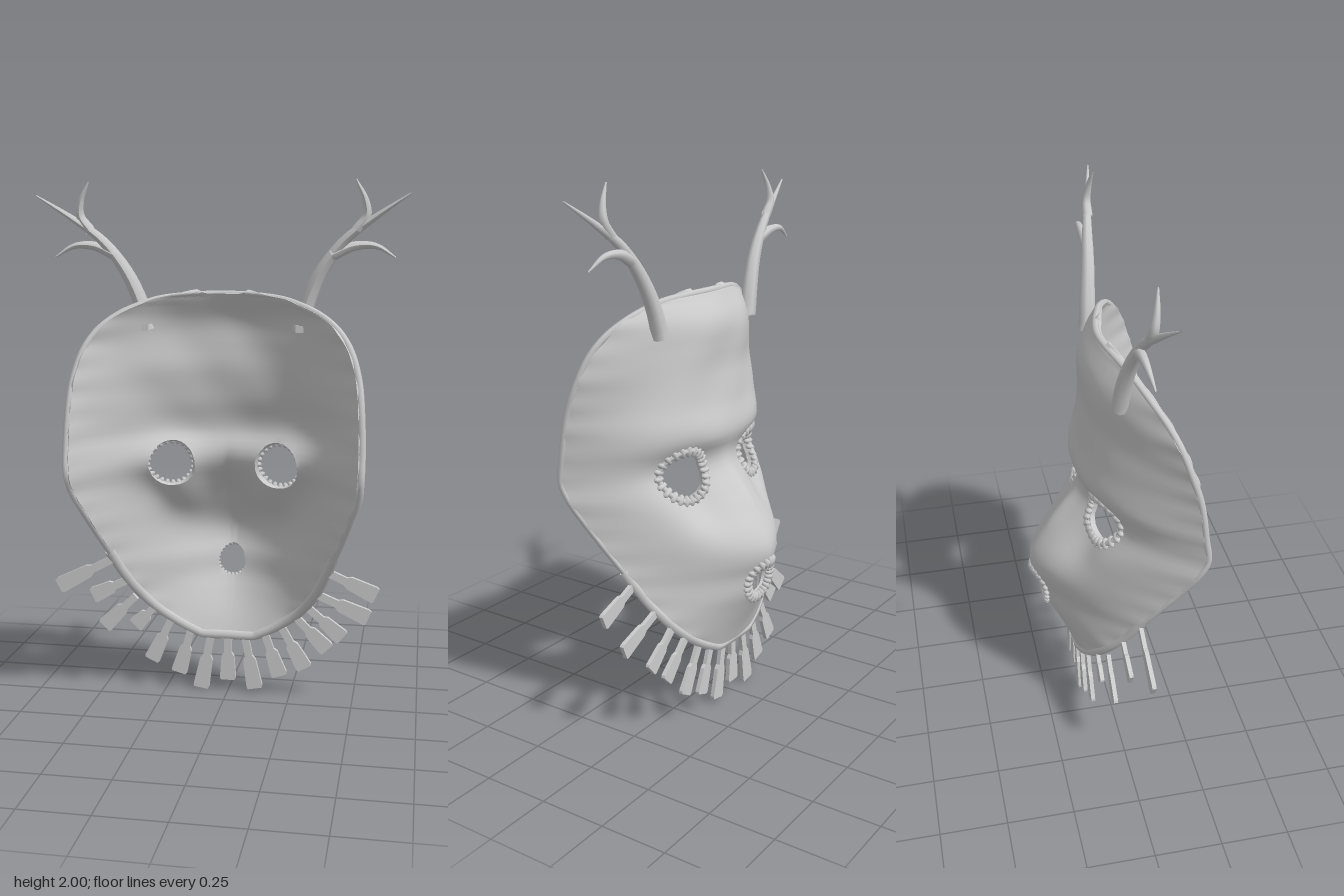
import * as THREE from 'three';
import { toCreasedNormals } from 'three/addons/utils/BufferGeometryUtils.js';

const grey = new THREE.MeshStandardMaterial({ color: 0xcccccc, side: THREE.DoubleSide });

// smooth function through [y, value] pairs
function profile(pairs) {
  const f = new THREE.CubicInterpolant(pairs.map(p => p[0]), pairs.map(p => p[1]), 1);
  return y => f.evaluate(y)[0];
}
const halfWidth = profile([[.22, .03], [.23, .085], [.26, .16], [.3, .228], [.36, .3], [.45, .367], [.55, .415], [.62, .443], [.7, .475],
  [.8, .51], [.87, .535], [.95, .545], [1.2, .54], [1.3, .528], [1.4, .497], [1.47, .45], [1.53, .38], [1.565, .3], [1.59, .2], [1.6, .1]]);
const edgeZ = profile([[.22, -.12], [.3, -.1], [.4, -.05], [.5, .015], [.6, .07], [.7, .135], [.8, .2], [.9, .255],
  [.95, .275], [1, .27], [1.1, .255], [1.2, .24], [1.3, .21], [1.4, .175], [1.5, .12], [1.55, .08], [1.59, .03], [1.6, .005]]);
const middleZ = profile([[.22, -.12], [.3, -.15], [.4, -.2], [.47, -.235], [.55, -.255], [.6, -.275], [.65, -.275], [.7, -.255], [.8, -.19],
  [.87, -.135], [.95, -.085], [1, -.08], [1.06, -.1], [1.1, -.1], [1.2, -.08], [1.3, -.065], [1.4, -.07], [1.5, -.06], [1.6, -.01]]);

const holes = [
  { name: 'leftEyeRim', x: .21, y: .945, r: .083 },
  { name: 'rightEyeRim', x: -.21, y: .945, r: .083 },
  { name: 'mouthRim', x: 0, y: .515, r: .064 },
];

// soft bump of height 1 at (x, y), mirrored in x
const bump = (x, y, cx, cy, rx, ry) => Math.exp(-(((Math.abs(x) - cx) / rx) ** 2) - ((y - cy) / ry) ** 2);

// height of the outer face: domed brow, full cheeks, pointed muzzle, slim nose, sunken eyes
function faceZ(x, y) {
  const t = Math.min(1, Math.abs(x) / halfWidth(y));
  const muzzle = Math.exp(-(((y - .6) / .22) ** 2));
  const cheek = Math.exp(-(((y - 1) / .3) ** 2));
  let z = THREE.MathUtils.lerp(middleZ(y), edgeZ(y), t ** (2 + .7 * cheek - .6 * muzzle));
  z -= .015 * bump(x, y, 0, .86, .04, .1);
  z += .045 * bump(x, y, .21, .95, .12, .09);
  z += .045 * bump(x, y, .18, .82, .09, .09);
  z += .004 * Math.sin(9 * x + 24 * y) * Math.sin(13 * x - 8 * y) * (y > 1.05 ? 1 : .4);
  return z + .004 * Math.sin(y * 70) * t ** 8;
}

function maskGeometry() {
  const rows = 90, cols = 72, P = [], inside = [], tris = [];
  for (let i = 0; i <= rows; i++) {
    const y = .22 + 1.38 * (1 + Math.cos(Math.PI * i / rows)) / 2;
    for (let j = 0; j <= cols; j++) {
      const p = new THREE.Vector2((2 * j / cols - 1) * halfWidth(y), y);
      const hole = holes.find(h => Math.hypot(p.x - h.x, p.y - h.y) < h.r);
      inside.push(!!hole);
      // pull points within an opening out to its rim
      if (hole) {
        const a = Math.atan2(p.y - hole.y, p.x - hole.x);
        p.set(hole.x + hole.r * Math.cos(a), hole.y + hole.r * Math.sin(a));
      }
      P.push(p.x, p.y, faceZ(p.x, p.y));
    }
  }
  const add = (...t) => { if (!t.every(k => inside[k])) tris.push(t); };
  for (let i = 0; i < rows; i++) for (let j = 0; j < cols; j++) {
    const a = i * (cols + 1) + j, b = a + 1, c = a + cols + 1;
    add(a, b, c);
    add(b, c + 1, c);
  }
  const g = new THREE.BufferGeometry();
  g.setAttribute('position', new THREE.Float32BufferAttribute(P, 3));
  g.setIndex(tris.flat());
  g.computeVertexNormals();

  // inner layer, then a wall along every open edge
  const N = g.attributes.normal.array, n = P.length / 3;
  const all = P.concat(P.map((v, k) => v - (k % 3 === 1 ? .012 : .026) * N[k]));
  const index = tris.flat();
  const edges = new Set();
  for (const [a, b, c] of tris) {
    index.push(a + n, c + n, b + n);
    for (const [u, v] of [[a, b], [b, c], [c, a]]) edges.add(u * n + v);
  }
  for (const e of edges) {
    const u = Math.floor(e / n), v = e % n;
    if (!edges.has(v * n + u)) index.push(v, u, u + n, v, u + n, v + n);
  }
  g.deleteAttribute('normal');
  g.setAttribute('position', new THREE.Float32BufferAttribute(all, 3));
  g.setIndex(index);
  return toCreasedNormals(g, .8);
}

// tube through points, thinning from r0 to r1
function taperedTube(points, r0, r1, segments = 20, sides = 7) {
  const curve = new THREE.CatmullRomCurve3(points.map(p => new THREE.Vector3(...p)));
  const g = new THREE.TubeGeometry(curve, segments, 1, sides);
  const pos = g.attributes.position, v = new THREE.Vector3();
  for (let k = 0; k < pos.count; k++) {
    const t = Math.floor(k / (sides + 1)) / segments, c = curve.getPointAt(t);
    v.fromBufferAttribute(pos, k).sub(c).multiplyScalar(THREE.MathUtils.lerp(r0, r1, t ** 1.4)).add(c);
    pos.setXYZ(k, v.x, v.y, v.z);
  }
  g.computeVertexNormals();
  return g;
}

export function createModel() {
  const model = new THREE.Group();
  const add = (parent, name, geometry) => {
    const m = new THREE.Mesh(geometry, grey);
    m.name = name;
    parent.add(m);
    return m;
  };
  const cord = (points, segments, r, closed = false) =>
    new THREE.TubeGeometry(new THREE.CatmullRomCurve3(points, closed), segments, r, 7, closed);

  add(model, 'maskShell', maskGeometry());

  // stitched rims round the eyes and mouth, lying flat on the face
  for (const h of holes) {
    const rim = new THREE.Group();
    rim.name = h.name;
    model.add(rim);
    const R = h.r + .012, at = a => {
      const x = h.x + R * Math.cos(a), y = h.y + R * Math.sin(a);
      return new THREE.Vector3(x, y, faceZ(x, y));
    };
    const ring = Array.from({ length: 24 }, (_, k) => at(k * Math.PI / 12));
    add(rim, 'rimCord', cord(ring, 48, .012, true));
    for (let k = 0; k < 24; k++) {
      const stitch = add(rim, 'rimStitch', new THREE.SphereGeometry(1, 8, 6));
      stitch.position.copy(ring[k]);
      stitch.scale.set(.025, .012, .015);
      stitch.rotation.z = k * Math.PI / 12;
    }
  }

  // rolled edge over the brow and down both cheeks
  const cheekEdge = [.58, .7, .8, .88, .95, 1.05, 1.2, 1.3, 1.4, 1.47, 1.53, 1.565, 1.585].map(y =>
    new THREE.Vector3(halfWidth(y) - .01, y - (y > 1.5 ? .006 : 0), edgeZ(y) + .004));
  const mirrored = cheekEdge.map(p => new THREE.Vector3(-p.x, p.y, p.z)).reverse();
  add(model, 'rolledEdge', cord([...cheekEdge, new THREE.Vector3(0, 1.594, -.004), ...mirrored], 140, .013));

  // binding along the jaw
  const jaw = [];
  for (let k = -14; k <= 14; k++) {
    const y = .238 + .377 * (k / 14) ** 2;
    jaw.push(new THREE.Vector3(k ? Math.sign(k) * (halfWidth(y) - .012) : 0, y, edgeZ(y) + .008));
  }
  add(model, 'jawBinding', cord(jaw, 80, .02));

  // fringe of paddle-shaped tags: base x, y, tip x, y
  const tags = [[-.42, .58, -.64, .46], [-.38, .48, -.52, .41], [-.36, .4, -.49, .27], [-.29, .35, -.37, .27],
    [-.23, .29, -.31, .12], [-.15, .25, -.2, .07], [-.07, .23, -.11, .01], [0, .23, 0, .05], [.07, .23, .11, .02],
    [.15, .25, .21, .08], [.22, .28, .31, .12], [.28, .33, .4, .21], [.33, .38, .46, .27], [.37, .45, .56, .37], [.41, .56, .59, .48]];
  for (const [bx, by, tx, ty] of tags) {
    const L = Math.hypot(tx - bx, ty - by);
    const side = [[.015, 0], [.015, .36 * L], [.025, .44 * L], [.032, .95 * L], [.028, L]];
    const outline = [...side, ...side.map(([x, y]) => [-x, y]).reverse()].map(p => new THREE.Vector2(...p));
    const tag = add(model, 'fringeTag', new THREE.ExtrudeGeometry(new THREE.Shape(outline),
      { depth: .016, bevelEnabled: false }));
    tag.position.set(bx, by, edgeZ(by) + .004);
    tag.rotation.z = Math.atan2(ty - by, tx - bx) - Math.PI / 2;
  }

  // branching antlers with a peg through the shell
  for (const s of [1, -1]) {
    const antler = new THREE.Group();
    antler.name = s > 0 ? 'leftAntler' : 'rightAntler';
    model.add(antler);
    const branch = (name, pts, r0, r1) =>
      add(antler, name, taperedTube(pts.map(([x, y, z]) => [s * x, y, z]), r0, r1));
    branch('antlerBeam', [[.285, 1.46, .014], [.315, 1.57, .022], [.365, 1.68, .035], [.45, 1.79, .05],
      [.55, 1.865, .07], [.68, 1.95, .1]], .032, .003);
    branch('upperTine', [[.49, 1.825, .06], [.525, 1.875, .062], [.52, 1.93, .07], [.487, 2, .08]], .02, .003);
    branch('lowerTine', [[.4, 1.735, .045], [.48, 1.768, .036], [.56, 1.768, .036], [.63, 1.728, .045]], .022, .003);
    const peg = add(antler, 'antlerPeg', new THREE.BoxGeometry(.03, .025, .05));
    peg.position.set(s * .29, 1.47, .03);
  }
  return model;
}
